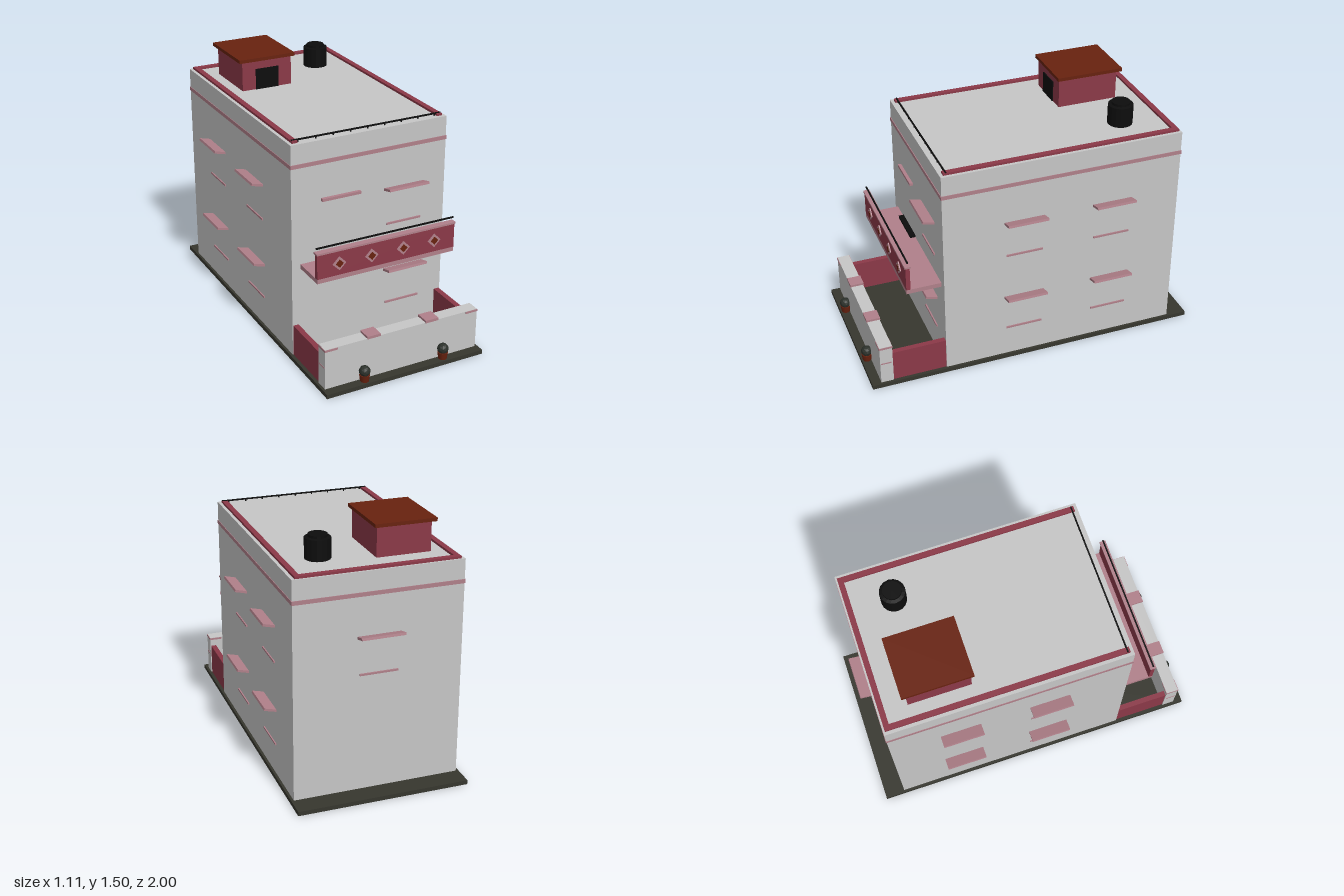
import * as THREE from 'three';

const mat = (name, color) => new THREE.MeshStandardMaterial({ name, color });

export function createModel() {
  const house = new THREE.Group();
  house.name = 'house';
  const plaster = mat('plaster', 0xc6c6c6);
  const maroon = mat('maroon', 0x8b3948);
  const pink = mat('pink', 0xb0808a);
  const brown = mat('brown', 0x68220f);
  const black = mat('black', 0x0d0d0d);
  const ground = mat('ground', 0x36362e);
  const leaf = mat('leaf', 0x2b302a);

  const add = (name, geo, material, x = 0, y = 0, z = 0, parent = house) => {
    const m = new THREE.Mesh(geo, material);
    m.name = name;
    m.position.set(x, y, z);
    parent.add(m);
    return m;
  };
  // box given by its limits on each axis
  const block = (name, material, x0, x1, y0, y1, z0, z1, parent) =>
    add(name, new THREE.BoxGeometry(x1 - x0, y1 - y0, z1 - z0), material,
      (x0 + x1) / 2, (y0 + y1) / 2, (z0 + z1) / 2, parent);

  // plot and main volume
  block('plot', ground, -0.5, 0.5, 0, 0.025, -1, 1);
  block('walls', plaster, -0.485, 0.485, 0.02, 1.305, -0.88, 0.55);
  block('wallBand', pink, -0.488, 0.488, 1.167, 1.19, -0.884, 0.554);

  // roof kerb on three sides, railing at the front
  for (const s of [-1, 1]) {
    block('roofKerb', maroon, s * 0.45 - 0.016, s * 0.45 + 0.016, 1.3, 1.318, -0.87, 0.53);
  }
  block('roofKerbBack', maroon, -0.434, 0.434, 1.3, 1.318, -0.87, -0.838);
  block('roofRail', black, -0.465, 0.465, 1.314, 1.322, 0.511, 0.519);
  for (let i = -4; i <= 4; i++) {
    block('roofRailPost', black, i * 0.106 - 0.003, i * 0.106 + 0.003, 1.3, 1.316, 0.512, 0.518);
  }

  // stair room on the roof
  block('stairRoom', maroon, -0.36, -0.045, 1.3, 1.482, -0.71, -0.347);
  block('stairRoomRoof', brown, -0.381, -0.025, 1.48, 1.5, -0.737, -0.333);
  block('stairRoomDoor', black, -0.275, -0.13, 1.305, 1.43, -0.348, -0.341);

  // water tank
  const tank = [[0, 0], [0.073, 0], [0.073, 0.12], [0.054, 0.124], [0.054, 0.138], [0, 0.138]];
  const tankGeo = new THREE.LatheGeometry(tank.map(p => new THREE.Vector2(...p)), 16).toNonIndexed();
  tankGeo.computeVertexNormals();
  add('waterTank', tankGeo, black, 0.248, 1.303, -0.603);

  // awning tilted upwards, its local +z pointing away from the wall
  const awning = (x, y, z, turn, length) => {
    const g = new THREE.Group();
    g.name = 'awning';
    g.position.set(x, y, z);
    g.rotation.y = turn;
    const slab = add('awningSlab', new THREE.BoxGeometry(length, 0.014, 0.08), pink, 0, 0.008, 0.03, g);
    slab.rotation.x = -0.25;
    house.add(g);
  };

  // side windows: awnings and sills on two floors
  for (const s of [-1, 1]) {
    for (const y of [0, 0.505]) {
      for (const z of [0.07, -0.465]) {
        awning(s * 0.485, 0.43 + y, z, s * Math.PI / 2, 0.24);
        block('windowSill', pink, s * 0.486 - 0.006, s * 0.486 + 0.006,
          0.21 + y, 0.221 + y, z - 0.11, z + 0.11);
      }
    }
  }

  // back window
  awning(0, 0.935, -0.88, Math.PI, 0.25);
  block('backSill', pink, -0.11, 0.11, 0.715, 0.726, -0.888, -0.875);

  // front windows and door ledges
  for (const [y, dx] of [[0, 0.005], [0.505, 0]]) {
    awning(0.217 + dx, 0.43 + y, 0.55, 0, 0.255);
    block('frontSill', pink, 0.11, 0.33, 0.21 + y, 0.221 + y, 0.545, 0.558);
  }
  block('doorLedgeUpper', pink, -0.305, -0.065, 0.95, 0.966, 0.545, 0.57);
  block('doorLedgeLower', pink, -0.325, -0.095, 0.455, 0.471, 0.545, 0.57);
  block('doorStep', black, -0.305, -0.065, 0.59, 0.607, 0.55, 0.582);

  // balcony
  block('balconyFloor', pink, -0.433, 0.433, 0.566, 0.592, 0.54, 0.755);
  block('balconyFront', maroon, -0.433, 0.433, 0.592, 0.738, 0.73, 0.755);
  block('balconyCap', pink, -0.438, 0.438, 0.737, 0.748, 0.723, 0.76);
  block('balconyRail', black, -0.433, 0.433, 0.768, 0.776, 0.737, 0.745);
  for (const x of [-0.3, -0.1, 0.1, 0.3]) {
    const frame = add('diamondFrame', new THREE.BoxGeometry(0.058, 0.058, 0.008), pink, x, 0.663, 0.757);
    const core = add('diamondCore', new THREE.BoxGeometry(0.034, 0.034, 0.008), brown, x, 0.663, 0.76);
    frame.rotation.z = core.rotation.z = Math.PI / 4;
  }

  // yard walls
  block('frontYardWall', plaster, -0.485, 0.485, 0.02, 0.271, 0.87, 0.945);
  for (const s of [-1, 1]) {
    block('sideYardWall', maroon, s * 0.464 - 0.016, s * 0.464 + 0.016, 0.02, 0.215, 0.545, 0.872);
    block('wallCap', pink, s * 0.185 - 0.041, s * 0.185 + 0.041, 0.268, 0.284, 0.866, 0.948);
    block('cornerTrim', pink, s * 0.448 - 0.039, s * 0.448 + 0.039, 0.257, 0.269, 0.868, 0.948);
    block('cornerLine', pink, s * 0.484 - 0.003, s * 0.484 + 0.003, 0.153, 0.16, 0.88, 0.94);

    // potted bush
    add('pot', new THREE.CylinderGeometry(0.031, 0.025, 0.042, 10), brown, s * 0.252, 0.046, 0.967);
    const bush = add('bush', new THREE.IcosahedronGeometry(0.033, 1), leaf, s * 0.252, 0.087, 0.967);
    bush.geometry.computeVertexNormals();
  }
  return house;
}
